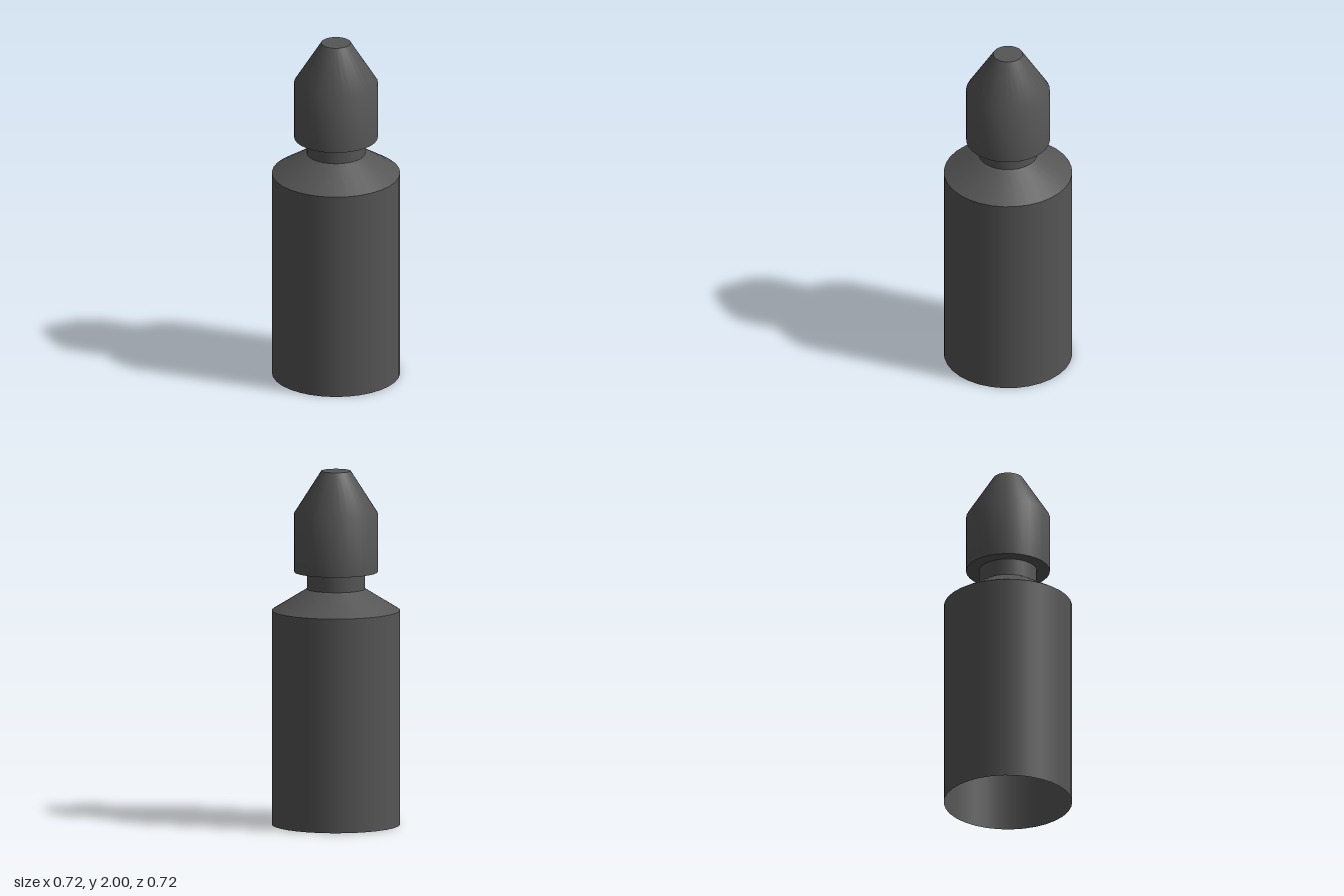
import * as THREE from 'three';
import { mergeGeometries } from 'three/addons/utils/BufferGeometryUtils.js';

const SEGMENTS = 32;
const material = new THREE.MeshStandardMaterial({ color: 0x555555, side: THREE.DoubleSide });

// Each strip is a list of [radius, y] points; smooth within a strip, sharp between strips.
function turned(name, strips) {
  const parts = strips.map((strip) =>
    new THREE.LatheGeometry(strip.map(([r, y]) => new THREE.Vector2(r, y)), SEGMENTS));
  const mesh = new THREE.Mesh(mergeGeometries(parts), material);
  mesh.name = name;
  return mesh;
}

export function createModel() {
  const group = new THREE.Group();
  group.name = 'bottle';

  // Hollow body, open at the bottom, with a sloping shoulder
  group.add(turned('body', [
    [[0.36, 0], [0.36, 1.212]],
    [[0.36, 1.212], [0.164, 1.333]],
  ]));

  // Short neck between shoulder and cap
  group.add(turned('neck', [[[0.164, 1.333], [0.164, 1.429]]]));

  // Cap: flat underside, straight wall running softly into a cone, flat tip
  group.add(turned('cap', [
    [[0, 1.429], [0.235, 1.429]],
    [[0.235, 1.429], [0.235, 1.761], [0.083, 2]],
    [[0.083, 2], [0, 2]],
  ]));

  return group;
}
